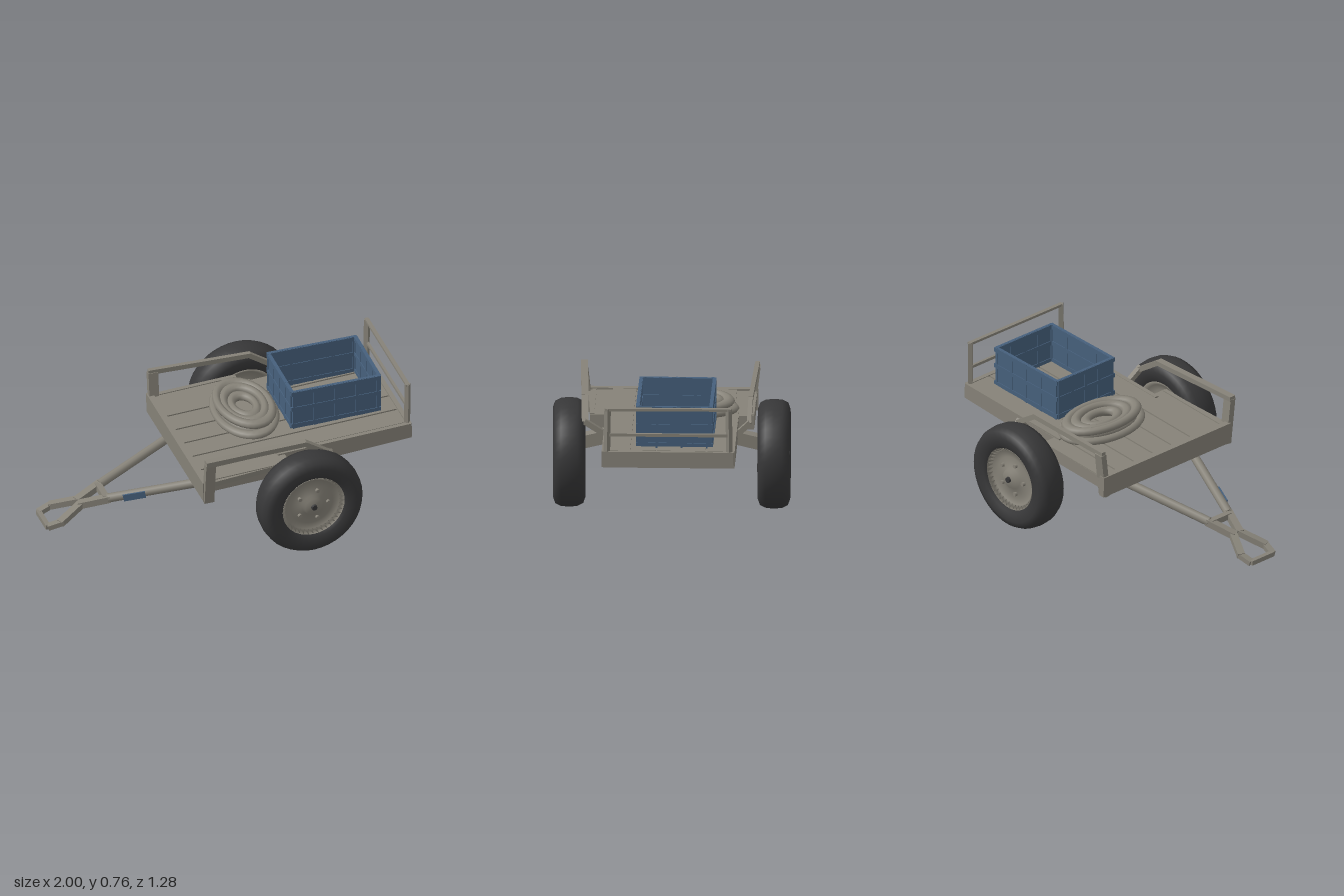
import * as THREE from 'three';

const grey = new THREE.MeshStandardMaterial({ color: 0x868278 });
grey.name = 'weathered grey';
const black = new THREE.MeshStandardMaterial({ color: 0x373738 });
black.name = 'tyre black';
const blue = new THREE.MeshStandardMaterial({ color: 0x46607c });
blue.name = 'crate blue';

const V = (x, y, z) => new THREE.Vector3(x, y, z);

function add(parent, name, geometry, material, x = 0, y = 0, z = 0) {
  const mesh = new THREE.Mesh(geometry, material);
  mesh.name = name;
  mesh.position.set(x, y, z);
  parent.add(mesh);
  return mesh;
}

// Box given by its lower and upper corners
function block(parent, name, material, x0, x1, y0, y1, z0, z1) {
  const g = new THREE.BoxGeometry(x1 - x0, y1 - y0, z1 - z0);
  return add(parent, name, g, material, (x0 + x1) / 2, (y0 + y1) / 2, (z0 + z1) / 2);
}

// Square bar or round tube between two points
function bar(parent, name, a, b, width, height = width, material = grey, round = false) {
  const length = a.distanceTo(b);
  const g = round
    ? new THREE.CylinderGeometry(width / 2, width / 2, length, 10).rotateX(Math.PI / 2)
    : new THREE.BoxGeometry(width, height, length);
  const mesh = add(parent, name, g, material);
  mesh.position.copy(a).add(b).multiplyScalar(0.5);
  mesh.lookAt(b);
  return mesh;
}

function makeWheel(side) {
  const wheel = new THREE.Group();
  wheel.name = side > 0 ? 'frontWheel' : 'backWheel';
  const lathe = (pts) => new THREE.LatheGeometry(pts.map(([r, y]) => new THREE.Vector2(r, y)), 40).rotateX(Math.PI / 2);
  // Tyre: closed rounded section
  add(wheel, 'tyre', lathe([
    [0.165, -0.055], [0.195, -0.08], [0.242, -0.087], [0.275, -0.075], [0.29, -0.045], [0.295, 0],
    [0.29, 0.045], [0.275, 0.075], [0.242, 0.087], [0.195, 0.08], [0.165, 0.055], [0.165, -0.055],
  ]), black);
  // Dished rim with a raised hub on both faces
  add(wheel, 'rim', lathe([
    [0, -0.06], [0.05, -0.06], [0.06, -0.04], [0.12, -0.035], [0.155, -0.05], [0.178, -0.068],
    [0.178, 0.068], [0.155, 0.045], [0.12, 0.04], [0.06, 0.048], [0.05, 0.07], [0, 0.073],
  ]), grey);
  add(wheel, 'hubCap', new THREE.CylinderGeometry(0.015, 0.017, 0.016, 12).rotateX(Math.PI / 2), black, 0, 0, 0.077);
  for (let i = 0; i < 5; i++) {
    const a = (i / 5) * Math.PI * 2;
    add(wheel, 'wheelBolt', new THREE.CylinderGeometry(0.011, 0.011, 0.02, 8).rotateX(Math.PI / 2), grey,
      Math.cos(a) * 0.09, Math.sin(a) * 0.09, 0.05);
  }
  wheel.position.set(0.34, 0.305, side * 0.55);
  wheel.rotation.y = side > 0 ? 0.03 : Math.PI + 0.015;
  return wheel;
}

function makeBed() {
  const bed = new THREE.Group();
  bed.name = 'bed';
  // T-shaped floor, wider at the drawbar end
  const shape = new THREE.Shape([
    [-0.61, -0.465], [-0.12, -0.44], [-0.12, -0.35], [0.61, -0.35],
    [0.61, 0.35], [-0.12, 0.36], [-0.12, 0.44], [-0.61, 0.445],
  ].map(([x, y]) => new THREE.Vector2(x, y)));
  const floor = new THREE.ExtrudeGeometry(shape, { depth: 0.03, bevelEnabled: false }).rotateX(-Math.PI / 2);
  add(bed, 'floor', floor, grey, 0, -0.03, 0);
  // Skirts around the open underside, deeper towards the axle
  const skirt = new THREE.Shape([[0.61, 0.008], [-0.15, 0.008], [-0.15, -0.09], [0.2, -0.09], [0.61, -0.08]]
    .map(([x, y]) => new THREE.Vector2(x, y)));
  for (const s of [-1, 1]) {
    add(bed, 'sideSkirt', new THREE.ExtrudeGeometry(skirt, { depth: 0.024, bevelEnabled: false }), grey, 0, 0, s * 0.345 - 0.012);
    block(bed, 'wideSkirt', grey, -0.6, -0.12, -0.07, 0.005, s * 0.43 - 0.012, s * 0.43 + 0.012);
    block(bed, 'wingEnd', grey, -0.135, -0.11, -0.075, 0, s * 0.39 - 0.05, s * 0.39 + 0.05);
  }
  block(bed, 'tailBoard', grey, 0.59, 0.615, -0.08, 0.008, -0.35, 0.35);
  block(bed, 'noseBeam', grey, -0.615, -0.58, -0.11, 0.01, -0.45, 0.465);
  // Floor planks
  for (let i = 0; i < 5; i++) {
    block(bed, 'floorPlank', grey, -0.58, 0.585, 0, 0.008, -0.335 + i * 0.135, -0.21 + i * 0.135);
  }
  bed.position.set(0.38, 0.498, 0);
  bed.rotation.z = 0.035;
  return bed;
}

export function createModel() {
  const cart = new THREE.Group();
  cart.name = 'cartTrailer';
  cart.add(makeBed(), makeWheel(1), makeWheel(-1));

  // Slim axle tucked under the floor, with sturdy stubs dropping to the hubs
  bar(cart, 'axle', V(0.34, 0.43, -0.34), V(0.34, 0.43, 0.34), 0.05, 0.04);
  for (const s of [-1, 1]) {
    bar(cart, 'axleStub', V(0.34, 0.415, s * 0.29), V(0.34, 0.36, s * 0.52), 0.07, 0.07);
  }

  // Side rails over the wheels, posts leaning slightly outwards
  for (const s of [-1, 1]) {
    const z = s > 0 ? 0.485 : -0.445, thick = s > 0 ? 0.038 : 0.024;
    const rail = new THREE.Group();
    rail.name = s > 0 ? 'frontSideRail' : 'backSideRail';
    bar(rail, 'railPost', V(-0.2, 0.36, z - s * 0.03), V(-0.2, 0.62, z), 0.055, 0.034);
    bar(rail, 'railTop', V(-0.225, 0.625, z), V(0.35, 0.62, z - s * 0.02), thick, 0.028);
    bar(rail, 'railSlope', V(0.34, 0.622, z - s * 0.02), V(0.49, 0.52, z - s * 0.025), thick, 0.028);
    bar(rail, 'railFoot', V(0.49, 0.53, z - s * 0.02), V(0.49, 0.45, s * 0.34), 0.028, 0.03);
    cart.add(rail);
  }

  // Tail rail
  for (const s of [-1, 1]) {
    bar(cart, 'tailPost', V(0.975, 0.45, s * 0.33), V(0.98, 0.768, s * 0.325), 0.024, 0.026);
  }
  bar(cart, 'tailTopBar', V(0.98, 0.766, -0.335), V(0.98, 0.762, 0.335), 0.022, 0.014);
  bar(cart, 'tailMidBar', V(0.98, 0.62, -0.33), V(0.98, 0.62, 0.33), 0.014, 0.016);

  // Open crate with rim and ribs
  const crate = new THREE.Group();
  crate.name = 'crate';
  const [hx, hz, h] = [0.247, 0.197, 0.235];
  for (const s of [-1, 1]) {
    block(crate, 'crateLongWall', blue, -hx, hx, 0, h, s * hz - 0.006, s * hz + 0.006);
    block(crate, 'crateEndWall', blue, s * hx - 0.006, s * hx + 0.006, 0, h, -hz, hz);
    for (const y of [0.02, 0.125, 0.222]) {
      block(crate, 'crateLongBand', blue, -hx - 0.008, hx + 0.008, y - 0.012, y + 0.012, s * hz - 0.01, s * hz + 0.01);
      block(crate, 'crateEndBand', blue, s * hx - 0.01, s * hx + 0.01, y - 0.012, y + 0.012, -hz, hz);
    }
    for (let i = -2; i <= 2; i++) {
      const x = i * 0.119, z = i * 0.094;
      block(crate, 'crateLongRib', blue, x - 0.008, x + 0.008, 0, h, s * hz - 0.009, s * hz + 0.009);
      block(crate, 'crateEndRib', blue, s * hx - 0.009, s * hx + 0.009, 0, h, z - 0.008, z + 0.008);
    }
  }
  crate.position.set(0.63, 0.512, -0.033);
  crate.rotation.y = -0.01;
  cart.add(crate);

  // Oval coil of rope: stacked rings
  const coil = new THREE.Group();
  coil.name = 'ropeCoil';
  [[0.155, 0], [0.125, 0.014], [0.14, 0.045], [0.105, 0.04], [0.085, 0.01], [0.065, 0.03]].forEach(([r, y], i) => {
    const ring = add(coil, 'ropeLoop', new THREE.TorusGeometry(r, 0.022, 8, 32).rotateX(Math.PI / 2), grey, 0, y, 0);
    ring.rotation.set(0.04 * Math.sin(i * 2.1), 0, 0.05 * Math.cos(i * 1.7));
  });
  coil.scale.z = 1.55;
  coil.position.set(0.195, 0.513, -0.085);
  cart.add(coil);

  // A-frame drawbar with a flared handle
  const drawbar = new THREE.Group();
  drawbar.name = 'drawbar';
  const P = (x, y, z) => V(x, y, 0.015 + z);
  for (const s of [-1, 1]) {
    bar(drawbar, 'drawbarArm', P(0.1, 0.405, s * 0.33), P(-0.64, 0.242, s * 0.07), 0.05, 0.05, grey, true);
    bar(drawbar, 'neckBar', P(-0.63, 0.243, s * 0.075), P(-0.79, 0.2, s * 0.018), 0.04, 0.038);
    bar(drawbar, 'handleFlare', P(-0.77, 0.205, s * 0.018), P(-0.92, 0.155, s * 0.09), 0.04, 0.034);
    bar(drawbar, 'handleTip', P(-0.9, 0.16, s * 0.09), P(-0.985, 0.135, s * 0.075), 0.036, 0.028);
  }
  bar(drawbar, 'crossBar', P(-0.65, 0.24, -0.07), P(-0.65, 0.24, 0.07), 0.034);
  bar(drawbar, 'handleGrip', P(-0.985, 0.137, -0.08), P(-0.985, 0.137, 0.08), 0.026);
  // Painted patch on the outer face of the front arm
  bar(drawbar, 'bluePatch', P(-0.458, 0.281, 0.158), P(-0.57, 0.257, 0.119), 0.008, 0.04, blue);
  cart.add(drawbar);

  return cart;
}
